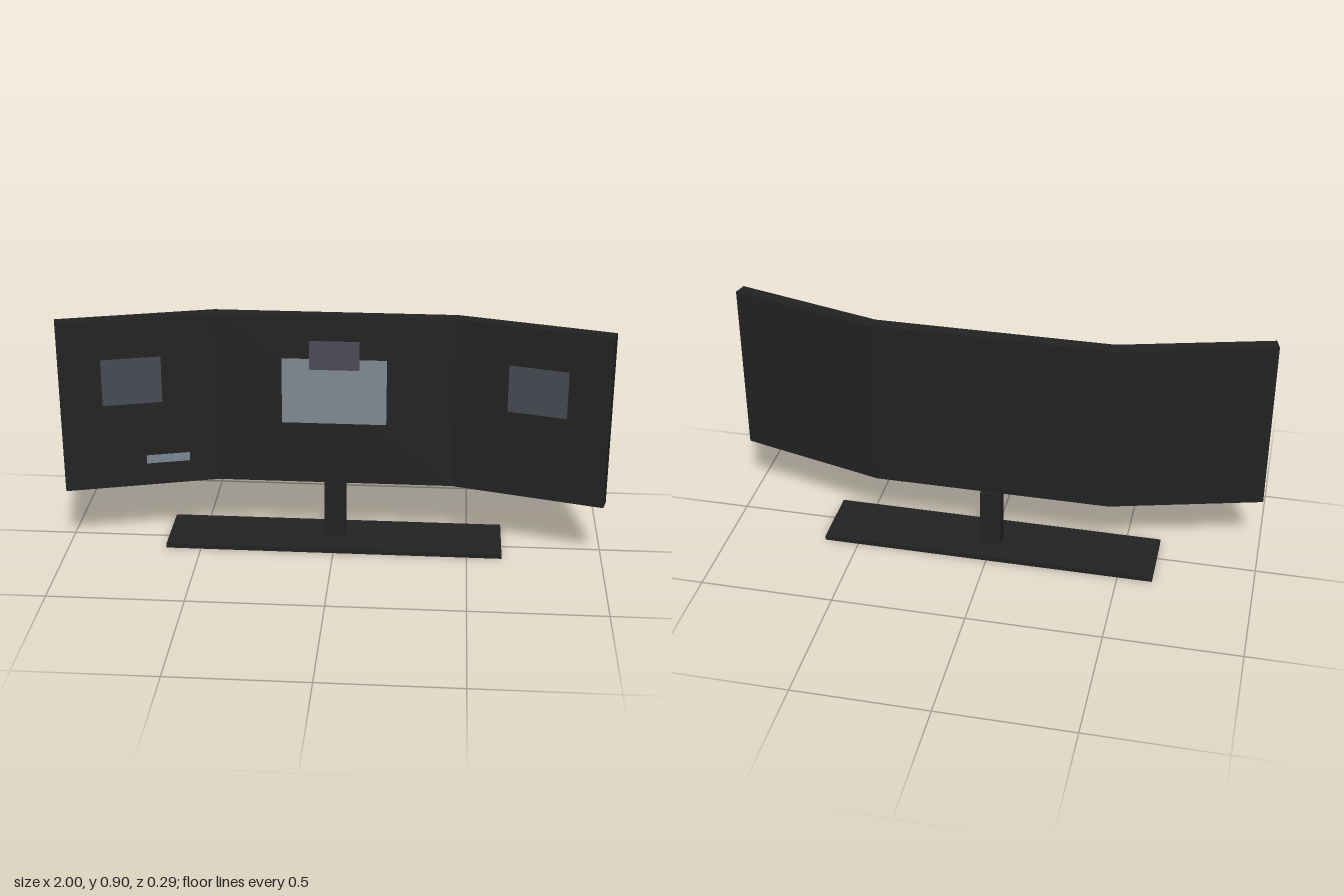
import * as THREE from 'three';

const mat = (name, color) => {
  const m = new THREE.MeshStandardMaterial({ color });
  m.name = name;
  return m;
};

export function createModel() {
  const model = new THREE.Group();
  model.name = 'curvedMonitor';

  const casing = mat('casing black', 0x222222);
  const paleGrey = mat('pale window grey', 0x808a92);
  const slate = mat('slate window grey', 0x454a52);
  const violetGrey = mat('violet window grey', 0x4a4a57);
  const barGrey = mat('bar blue grey', 0x7b8694);

  const BOTTOM = 0.247, TOP = 0.905, DEPTH = 0.05;
  const HINGE = 0.436, ANGLE = THREE.MathUtils.degToRad(15);
  const BACK = HINGE + DEPTH * Math.tan(ANGLE / 2);
  const LENGTH = (0.987 - HINGE) / Math.cos(ANGLE);

  // Box given by its lower and upper corners
  const box = (name, parent, material, [x0, y0, z0], [x1, y1, z1]) => {
    const mesh = new THREE.Mesh(new THREE.BoxGeometry(x1 - x0, y1 - y0, z1 - z0), material);
    mesh.position.set((x0 + x1) / 2, (y0 + y1) / 2, (z0 + z1) / 2);
    mesh.name = name;
    parent.add(mesh);
  };

  // Upright panel extruded from its plan outline, given as [x, z] points
  const panel = (name, parent, outline) => {
    const shape = new THREE.Shape(outline.map(([x, z]) => new THREE.Vector2(x, z)));
    const geo = new THREE.ExtrudeGeometry(shape, { depth: TOP - BOTTOM, bevelEnabled: false });
    geo.rotateX(Math.PI / 2).translate(0, TOP, 0);
    const mesh = new THREE.Mesh(geo, casing);
    mesh.name = name;
    parent.add(mesh);
  };

  // Centre panel with mitred ends
  panel('centrePanel', model, [[-HINGE, 0], [HINGE, 0], [BACK, -DEPTH], [-BACK, -DEPTH]]);
  box('centreWindow', model, paleGrey, [-0.195, 0.488, 0], [0.19, 0.74, 0.003]);
  box('upperWindow', model, violetGrey, [-0.093, 0.7, 0], [0.09, 0.81, 0.005]);

  // Angled side panels, each hinged at the front seam
  for (const s of [1, -1]) {
    const wing = new THREE.Group();
    wing.name = s > 0 ? 'leftWing' : 'rightWing';
    wing.position.x = s * HINGE;
    wing.rotation.y = -s * ANGLE;
    model.add(wing);

    const inner = -DEPTH * Math.tan(ANGLE / 2);
    panel('wingPanel', wing, [[0, 0], [s * LENGTH, 0], [s * LENGTH, -DEPTH], [s * -inner * -1 * -1, -DEPTH]]
      .map(([x, z], i) => (i === 3 ? [s * -inner * -1, z] : [x, z])));

    // Plates on the wing, placed by their distance from the centre line
    const plate = (name, material, near, far, y0, y1) => {
      const a = s * (near - HINGE) / Math.cos(ANGLE);
      const b = s * (far - HINGE) / Math.cos(ANGLE);
      box(name, wing, material, [Math.min(a, b), y0, 0], [Math.max(a, b), y1, 0.003]);
    };
    plate('sideWindow', slate, 0.63, 0.84, 0.578, 0.755);
    if (s < 0) plate('smallBar', barGrey, 0.54, 0.695, 0.335, 0.367);
  }

  // Stand
  box('standColumn', model, casing, [-0.04, 0.018, -0.066], [0.04, 0.247, -0.015]);
  box('standBase', model, casing, [-0.63, 0, -0.147], [0.63, 0.018, 0.099]);

  return model;
}
